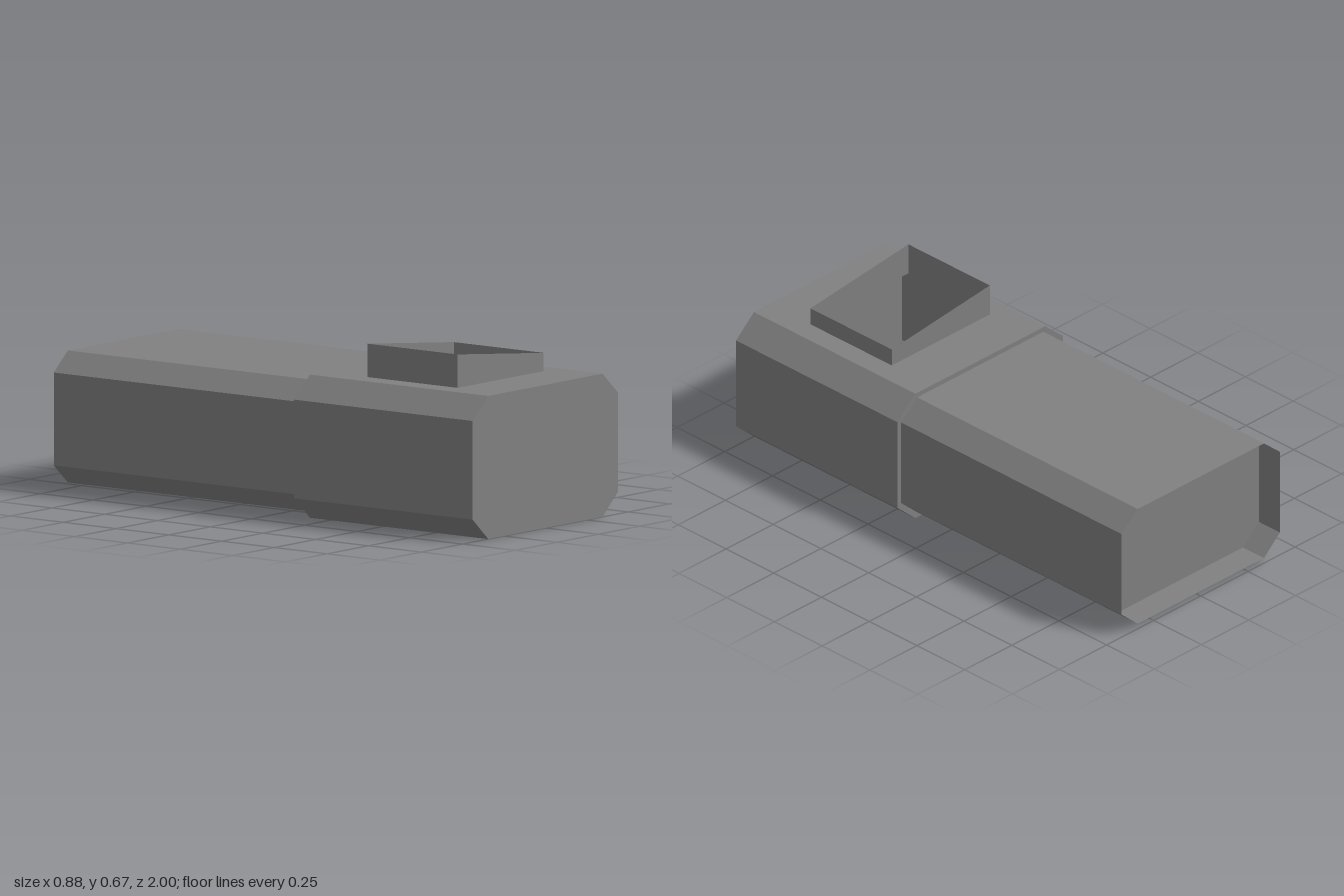
import * as THREE from 'three';

const grey = new THREE.MeshStandardMaterial({ color: 0x808080, side: THREE.DoubleSide });
grey.name = 'grey';

// Chamfered rectangle, counter-clockwise seen from +z; the side from point 4 to 5 is the top
function octagon(w, cw, y0, c0, c1, y1) {
  return [[-cw, y0], [cw, y0], [w, c0], [w, c1], [cw, y1], [-cw, y1], [-w, c1], [-w, c0]]
    .map(([x, y]) => new THREE.Vector2(x, y));
}
const at = (ring, z) => ring.map((p) => new THREE.Vector3(p.x, p.y, z));

// Flat quads joining two closed rings, leaving out one side if asked
function band(a, b, skip = -1) {
  const points = [];
  a.forEach((p, i) => {
    if (i === skip) return;
    const j = (i + 1) % a.length;
    points.push(p, a[j], b[j], p, b[j], b[i]);
  });
  const g = new THREE.BufferGeometry().setFromPoints(points);
  g.computeVertexNormals();
  return g;
}

export function createModel() {
  const model = new THREE.Group();
  model.name = 'hollowHousing';
  const add = (name, geometry) => {
    const mesh = new THREE.Mesh(geometry, grey);
    mesh.name = name;
    model.add(mesh);
    return mesh;
  };

  const joint = 0.155;
  const front = octagon(0.44, 0.345, 0, 0.085, 0.457, 0.54);
  const rear = octagon(0.42, 0.335, 0.022, 0.097, 0.447, 0.52);

  // Hollow front body, its top side made separately with an opening
  add('frontBody', band(at(front, joint), at(front, 1), 4));
  add('frontCap', new THREE.ShapeGeometry(new THREE.Shape(front))).position.z = 1;

  // Top panel with the rectangular opening
  const x = 0.26, z0 = 0.362, z1 = 0.788;
  const rect = (w, a, b) => [[-w, -b], [w, -b], [w, -a], [-w, -a]].map((p) => new THREE.Vector2(...p));
  const panel = new THREE.Shape(rect(0.345, joint, 1));
  panel.holes.push(new THREE.Path(rect(x, z0, z1)));
  add('topPanel', new THREE.ShapeGeometry(panel).rotateX(-Math.PI / 2)).position.y = 0.54;

  // Thin slanted collar around the opening
  const corners = [[-x, z1], [x, z1], [x, z0], [-x, z0]];
  add('collar', band(
    corners.map(([cx, cz]) => new THREE.Vector3(cx, 0.54, cz)),
    corners.map(([cx, cz]) => new THREE.Vector3(cx, cx < 0 ? 0.666 : 0.609, cz))));

  // Step between the two bodies
  add('step', band(at(rear, joint), at(front, joint)));

  // Narrower rear sleeve with a recessed end wall
  add('rearBody', band(at(rear, -1), at(rear, joint)));
  add('rearWall', new THREE.ShapeGeometry(new THREE.Shape(rear)).rotateY(Math.PI)).position.z = -0.89;

  return model;
}
